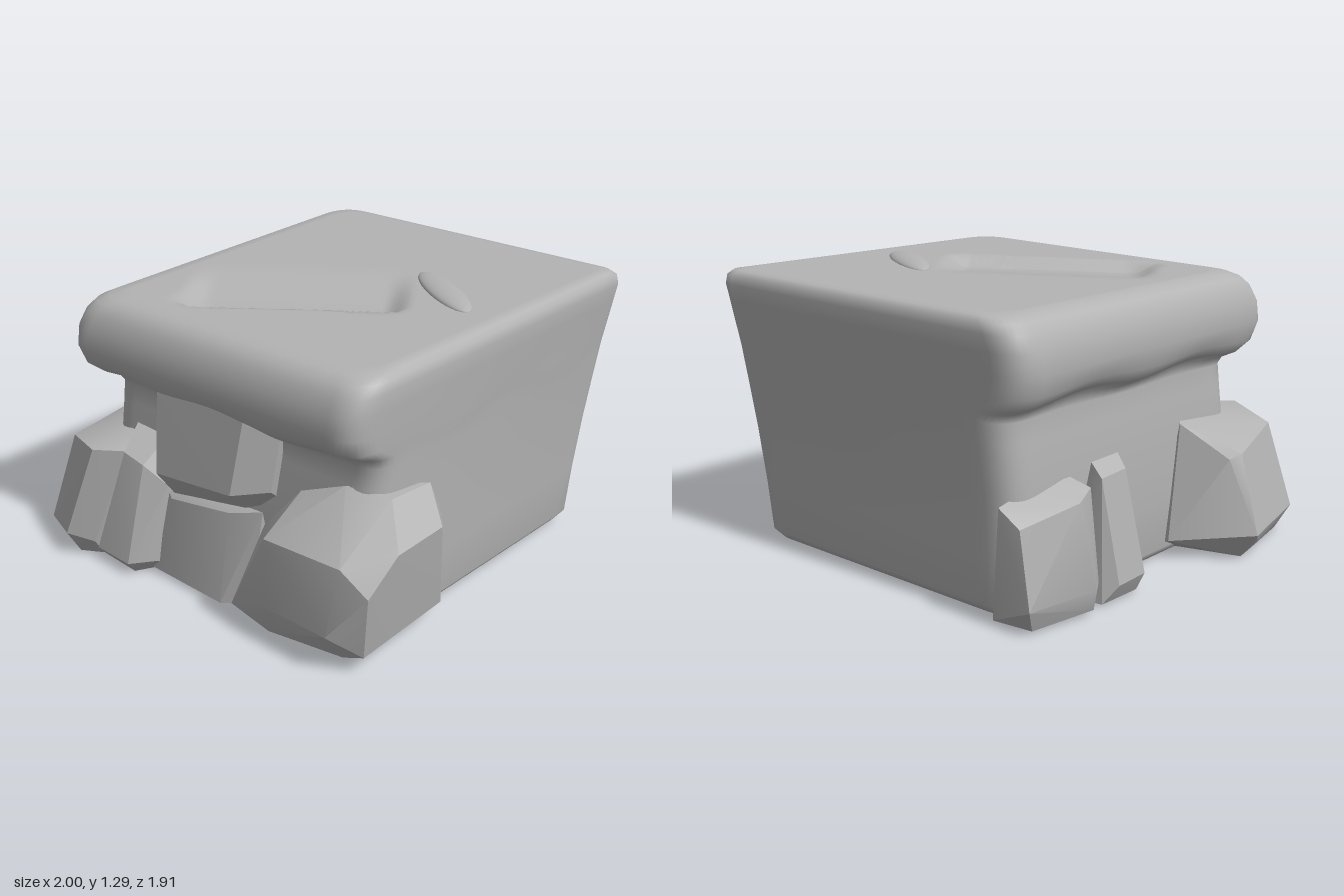
import * as THREE from 'three';
import { toCreasedNormals } from 'three/addons/utils/BufferGeometryUtils.js';
import { ConvexGeometry } from 'three/addons/geometries/ConvexGeometry.js';

const { lerp, smoothstep } = THREE.MathUtils;
const V = (p) => new THREE.Vector3(...p);

// Rounded four-cornered outline, counterclockwise seen from above
function outline(corners, radii) {
  const pts = [];
  corners.forEach((c, i) => {
    const prev = corners[(i + 3) % 4], next = corners[(i + 1) % 4], r = radii[i];
    const toward = (a, b, d) => a.clone().add(b.clone().sub(a).setLength(d));
    const exit = toward(c, next, r);
    pts.push(...new THREE.QuadraticBezierCurve(toward(c, prev, r), c, exit).getPoints(8));
    const stop = toward(next, c, radii[(i + 1) % 4]);
    for (let k = 1; k < 20; k++) pts.push(exit.clone().lerp(stop, k / 20));
  });
  return pts;
}

// Shallow hollow worn into the top
function hollow(x, z) {
  const u = Math.abs(x * 0.81 - (z - 0.15) * 0.58), v = x * 0.58 + (z - 0.15) * 0.81;
  return 0.05 * smoothstep(v, -0.3, 0.12) * (1 - smoothstep(v, 0.17, 0.22)) * (1 - smoothstep(u, 0.38, 0.5));
}

function blockGeometry() {
  // height, left side x, front z, inset of the right and back sides
  const rows = [
    [0.02, -0.57, 0.58, 0.07], [0.03, -0.62, 0.64, 0.03], [0.07, -0.65, 0.67, 0], [0.3, -0.66, 0.68, 0],
    [0.55, -0.66, 0.68, 0], [0.75, -0.645, 0.665, 0], [0.84, -0.635, 0.665, 0], [0.88, -0.645, 0.69, 0],
    [0.905, -0.685, 0.745, 0], [0.95, -0.72, 0.8, 0], [1.03, -0.74, 0.825, 0], [1.12, -0.735, 0.815, 0],
    [1.19, -0.71, 0.79, 0], [1.23, -0.68, 0.755, 0.012], [1.25, -0.64, 0.715, 0.035], [1.257, -0.59, 0.67, 0.07],
  ];
  const rings = rows.map(([y, left, front, inset]) => {
    const t = y / 1.26, s = t * t * 0.5 + t * 0.5;
    const corners = [
      [left, front], [lerp(0.82, 0.87, s) - inset, front - 0.06],
      [lerp(0.82, 0.945, s) - inset, -lerp(0.845, 0.965, s) + inset], [left + 0.02, -lerp(0.8, 0.89, s) + inset],
    ].map((c) => new THREE.Vector2(...c));
    return outline(corners, [0.13, 0.13, 0.07, 0.14]).map((p) => {
      const edge = Math.max(0, 1 - Math.abs(y - 0.91) / 0.1);
      return [p.x, y + edge * 0.014 * Math.sin(p.x * 11 + p.y * 9), p.y];
    });
  });
  // Close the bottom and the top toward the middle
  const shrink = (ring, k) => ring.map(([x, y, z]) => [x * k, y, z * k]);
  const last = rings[rings.length - 1];
  for (let i = 39; i >= 0; i--) rings.push(shrink(last, i / 40));
  rings.unshift(shrink(rings[0], 0));

  const n = last.length, position = [], index = [];
  rings.forEach((ring, i) => ring.forEach(([x, y, z], j) => {
    const slope = lerp(0.02 * x, 0.012 * x - 0.02 * z, Math.min(1, y));
    position.push(x, y + slope - (y > 1.2 ? hollow(x, z) : 0), z);
    if (i === rings.length - 1) return;
    const a = i * n + j, b = i * n + (j + 1) % n;
    index.push(a, b, b + n, a, b + n, a + n);
  }));
  const geo = new THREE.BufferGeometry();
  geo.setAttribute('position', new THREE.Float32BufferAttribute(position, 3));
  geo.setIndex(index);
  geo.computeVertexNormals();
  return geo;
}

// Chiselled stones, each the hull of a few corners
const stones = {
  frontRightBoulder: [
    [-0.9, 0.01, 0.42], [-0.82, 0.01, 0.84], [-0.68, 0.01, 0.89], [-0.57, 0.02, 0.84], [-0.5, 0.01, 0.3],
    [-1, 0.14, 0.39], [-0.97, 0.09, 0.44], [-0.87, 0.12, 0.89], [-0.68, 0.13, 0.96], [-0.57, 0.1, 0.89],
    [-0.91, 0.5, 0.38], [-0.79, 0.53, 0.79], [-0.55, 0.57, 0.88], [-0.43, 0.57, 0.79], [-0.5, 0.64, 0.5],
    [-0.67, 0.62, 0.25], [-0.68, 0.1, 0.17], [-0.88, 0.48, 0.33],
  ],
  frontSlab: [
    [-0.58, 0.01, 0.83], [-0.36, 0.01, 0.84], [-0.56, 0.07, 0.88], [-0.35, 0.07, 0.885], [-0.27, 0.08, 0.8],
    [-0.43, 0.57, 0.8], [-0.32, 0.54, 0.79], [-0.23, 0.45, 0.73], [-0.47, 0.66, 0.68], [-0.3, 0.64, 0.66],
    [-0.58, 0.02, 0.5], [-0.2, 0.03, 0.6],
  ],
  frontLeftBoulder: [
    [0.88, 0.73, 0.55], [0.87, 0.7, 0.3], [0.7, 0.75, 0.62], [0.5, 0.67, 0.66], [1, 0.58, 0.38], [1, 0.57, 0.65],
    [0.97, 0.42, 0.79], [0.91, 0.1, 0.74], [0.93, 0.15, 0.28], [0.8, 0.05, 0.12], [0.8, 0.05, 0.74],
    [0.45, 0.5, 0.83], [0.85, 0.52, 0.82], [0.48, 0.36, 0.84], [0.45, 0.2, 0.855], [0.8, 0.2, 0.85],
    [0.2, 0.06, 0.78], [0.45, 0.05, 0.81], [0.17, 0.04, 0.68], [0.89, 0.5, 0.22], [0.35, 0.48, 0.72],
  ],
  middleBlock: [
    [-0.22, 0.95, 0.77], [0.28, 0.95, 0.76], [-0.21, 0.55, 0.81], [0.23, 0.6, 0.8], [-0.2, 0.42, 0.72],
    [0.22, 0.5, 0.7], [0.36, 0.62, 0.69], [0.4, 0.93, 0.66], [-0.3, 0.6, 0.68], [-0.29, 0.94, 0.66],
    [-0.25, 0.5, 0.55], [0.3, 0.5, 0.55],
  ],
  middleFoot: [
    [-0.3, 0.03, 0.78], [0.13, 0.03, 0.78], [0.25, 0.05, 0.72], [-0.2, 0.4, 0.74], [0.15, 0.46, 0.73],
    [0.3, 0.5, 0.68], [-0.3, 0.45, 0.69], [-0.3, 0.03, 0.55], [0.25, 0.04, 0.55],
  ],
  sideBoulder: [
    [-0.72, 0.02, -0.8], [-0.79, 0.03, -0.5], [-0.6, 0.01, -0.4], [-0.55, 0.03, -0.84], [-0.75, 0.12, -0.85],
    [-0.82, 0.13, -0.52], [-0.76, 0.12, -0.43], [-0.7, 0.45, -0.85], [-0.77, 0.5, -0.57], [-0.72, 0.52, -0.44],
    [-0.6, 0.58, -0.5], [-0.6, 0.52, -0.86],
  ],
  sideSlab: [
    [-0.77, 0.02, -0.42], [-0.78, 0.02, -0.2], [-0.82, 0.1, -0.37], [-0.815, 0.1, -0.19], [-0.72, 0.1, -0.09],
    [-0.76, 0.56, -0.42], [-0.75, 0.56, -0.25], [-0.69, 0.61, -0.4], [-0.67, 0.6, -0.2], [-0.6, 0.03, -0.46],
    [-0.6, 0.03, -0.08],
  ],
};

export function createModel() {
  const model = new THREE.Group();
  const stone = new THREE.MeshStandardMaterial({ color: 0xb4b4b4 });
  stone.name = 'grey stone';
  const add = (name, geo) => {
    const mesh = new THREE.Mesh(geo, stone);
    mesh.name = name;
    model.add(mesh);
    return mesh;
  };

  // Main block with its overhanging ledge
  add('ledgeBlock', blockGeometry());

  // Stones around the foot
  for (const [name, points] of Object.entries(stones)) {
    add(name, toCreasedNormals(new ConvexGeometry(points.map(V)), 0.45));
  }

  // Low ridge beside the hollow
  const ridge = add('topRidge', new THREE.SphereGeometry(1, 32, 16));
  ridge.scale.set(0.25, 0.028, 0.07);
  ridge.position.set(0.5, 1.266, -0.23);
  ridge.rotation.y = -0.52;

  return model;
}
